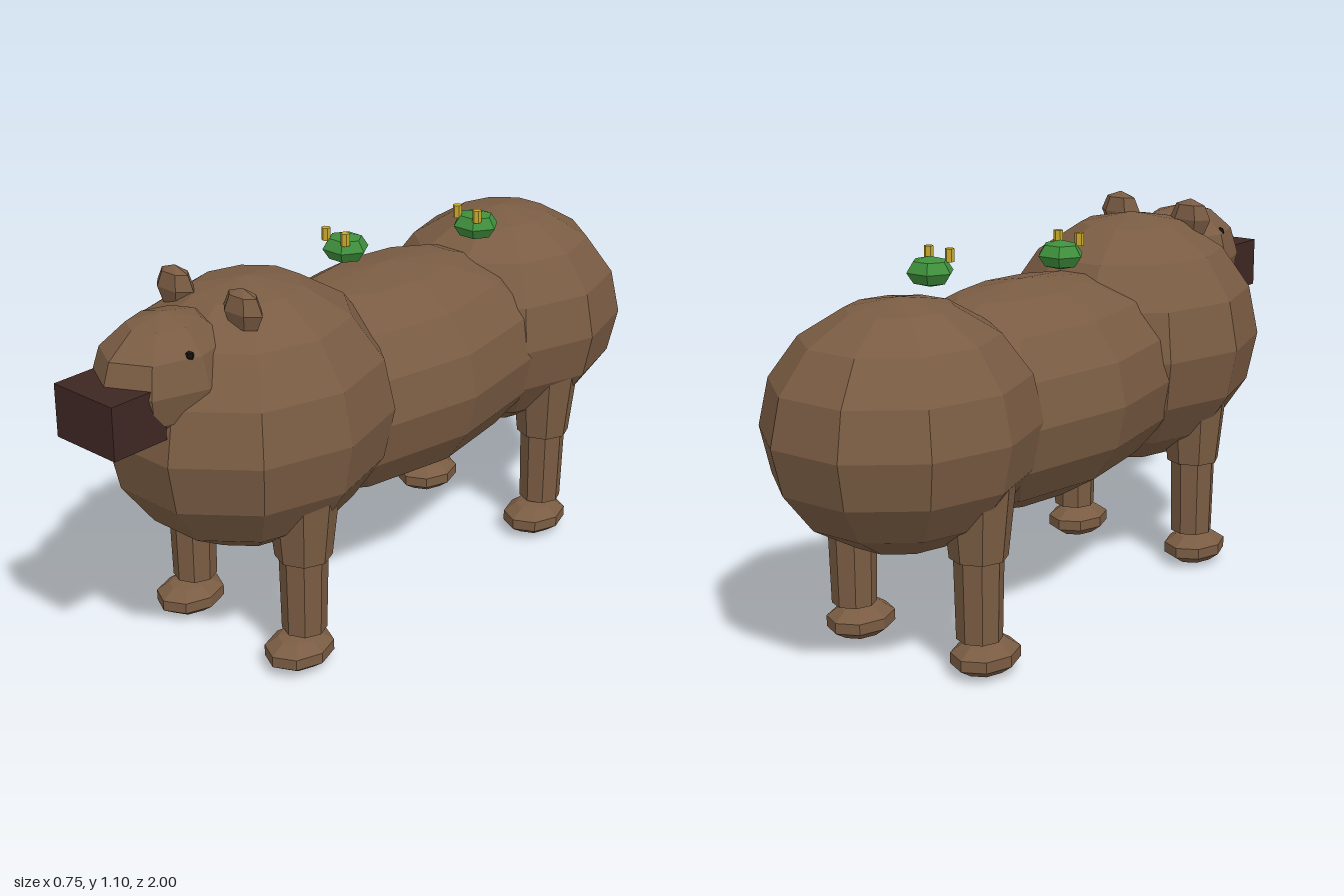
import * as THREE from 'three';

const paint = (name, color) => {
  const m = new THREE.MeshStandardMaterial({ color, flatShading: true });
  m.name = name;
  return m;
};

export function createModel() {
  const model = new THREE.Group();
  model.name = 'bear';
  const fur = paint('brown fur', 0x7a5c43);
  const muzzle = paint('dark brown muzzle', 0x3e2723);
  const black = paint('black eye', 0x14100e);
  const green = paint('green frog', 0x3f8f3c);
  const yellow = paint('yellow frog eye', 0xc9a92c);

  const add = (parent, name, geometry, material, x, y, z) => {
    const mesh = new THREE.Mesh(geometry, material);
    mesh.name = name;
    mesh.position.set(x, y, z);
    parent.add(mesh);
    return mesh;
  };
  // Faceted ellipsoid
  const ball = (rx, ry, rz, around, rings) =>
    new THREE.SphereGeometry(1, around, rings).scale(rx, ry, rz);

  // Torso in three overlapping masses
  add(model, 'chest', ball(0.375, 0.375, 0.42, 10, 8), fur, 0, 0.697, 0.44);
  add(model, 'belly', ball(0.345, 0.315, 0.67, 10, 8), fur, 0, 0.645, -0.1);
  add(model, 'rump', ball(0.357, 0.335, 0.39, 10, 8), fur, 0, 0.665, -0.628);

  // Head
  add(model, 'head', ball(0.163, 0.165, 0.21, 8, 6), fur, 0, 0.892, 0.73);
  add(model, 'snout', new THREE.BoxGeometry(0.215, 0.145, 0.17), muzzle, 0, 0.843, 0.915);

  for (const side of [-1, 1]) {
    add(model, 'ear', ball(0.07, 0.06, 0.037, 6, 4), fur, side * 0.125, 1.045, 0.573);
    add(model, 'eye', ball(0.014, 0.014, 0.014, 6, 4), black, side * 0.122, 0.977, 0.757);

    // Legs: thick thigh, thin shank, flat paw
    for (const [name, z, pawZ] of [['frontLeg', 0.464, 0.485], ['hindLeg', -0.59, -0.565]]) {
      const leg = new THREE.Group();
      leg.name = name;
      leg.position.x = side * 0.218;
      model.add(leg);
      add(leg, 'thigh', new THREE.CylinderGeometry(0.104, 0.078, 0.24, 8), fur, 0, 0.455, z);
      add(leg, 'shank', new THREE.CylinderGeometry(0.068, 0.062, 0.26, 8), fur, 0, 0.24, z);
      add(leg, 'paw', ball(0.09, 0.05, 0.11, 8, 5), fur, 0, 0.054, pawZ);
    }
  }

  // Two small frogs hovering over the back
  for (const [x, z] of [[-0.055, 0], [0.09, -0.395]]) {
    const frog = new THREE.Group();
    frog.name = 'frog';
    frog.position.set(x, 1.016, z);
    model.add(frog);
    add(frog, 'frogBody', ball(0.07, 0.042, 0.065, 6, 4), green, 0, 0, 0);
    for (const side of [-1, 1])
      add(frog, 'frogEye', new THREE.CylinderGeometry(0.013, 0.013, 0.036, 6), yellow,
        side * 0.036, 0.042, 0.04);
  }
  return model;
}
